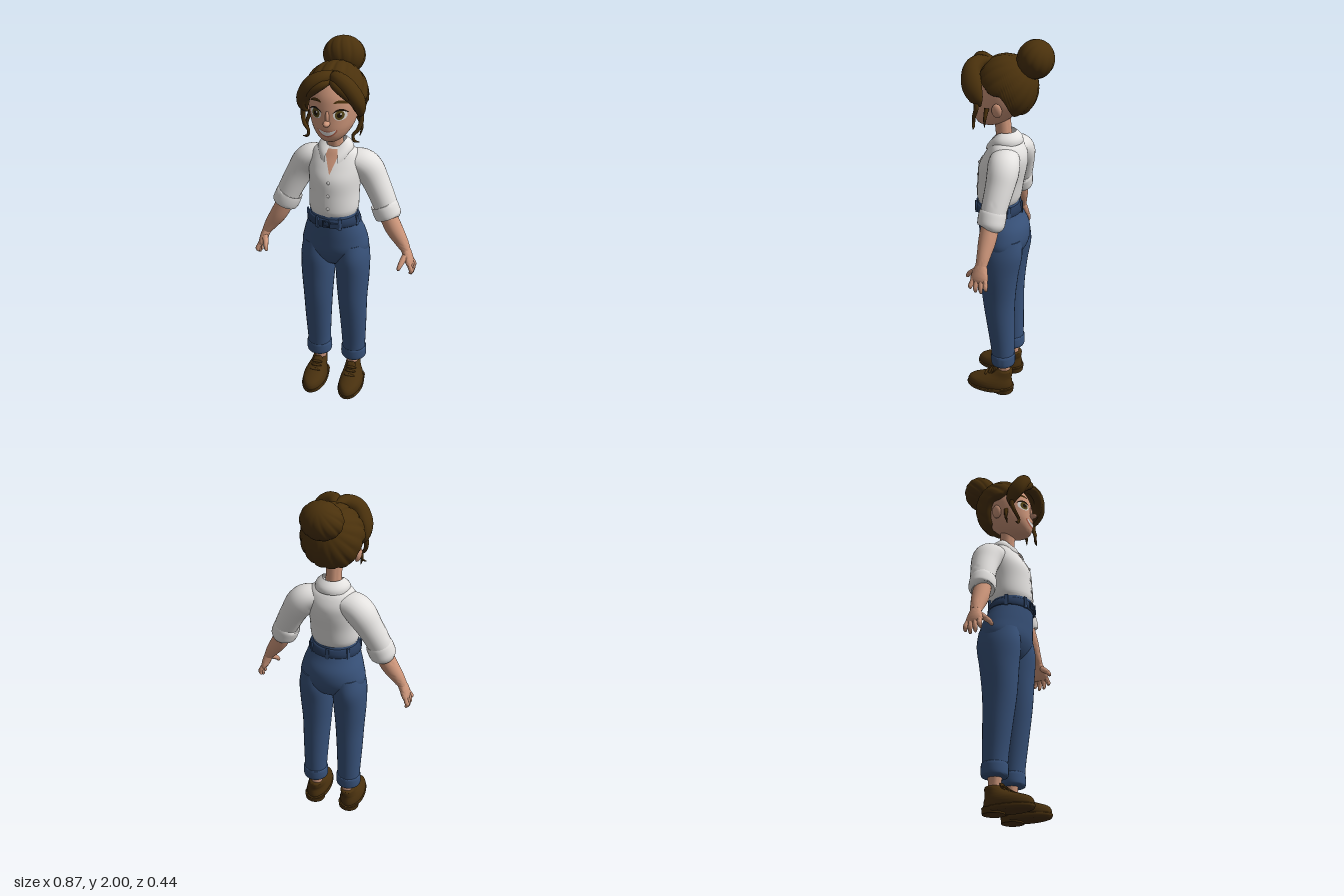
import * as THREE from 'three';
import { mergeVertices, toCreasedNormals } from 'three/addons/utils/BufferGeometryUtils.js';
import { ParametricGeometry } from 'three/addons/geometries/ParametricGeometry.js';

const mat = (name, color, side = THREE.FrontSide) => {
  const m = new THREE.MeshStandardMaterial({ color, side });
  m.name = name;
  return m;
};
const V = (x, y, z) => new THREE.Vector3(x, y, z);

// Catmull-Rom smoothing of cross-sections [x, y, z, ra, rb]
function dense(S, steps) {
  const P = S.map(s => [s[0], s[1], s[2], s[3], s[4] ?? s[3]]), out = [], last = P.length - 1;
  for (let i = 0; i < last; i++) for (let k = 0; k < steps; k++) {
    const t = k / steps, p = [P[Math.max(i - 1, 0)], P[i], P[i + 1], P[Math.min(i + 2, last)]];
    out.push(P[i].map((_, c) => {
      const [a, b, d, e] = p.map(q => q[c]);
      return b + 0.5 * t * (d - a + t * (2 * a - 5 * b + 4 * d - e + t * (3 * (b - d) + e - a)));
    }));
  }
  out.push(P[last]);
  return out;
}

// Closed loft; flat keeps every ring horizontal, otherwise rings follow the path
function loft(S, { flat = false, n = 24, steps = 5 } = {}) {
  const R = dense(S, steps), pos = [], idx = [], m = R.length;
  R.forEach((r, i) => {
    const p = R[Math.max(i - 1, 0)], q = R[Math.min(i + 1, m - 1)];
    const t = flat ? V(0, Math.sign(q[1] - p[1]), 0) : V(q[0] - p[0], q[1] - p[1], q[2] - p[2]).normalize();
    const b = V(0, 0, 1).addScaledVector(t, -t.z).normalize(), a = b.clone().cross(t);
    for (let j = 0; j < n; j++) {
      const w = j / n * Math.PI * 2;
      const v = V(r[0], r[1], r[2]).addScaledVector(a, Math.cos(w) * r[3]).addScaledVector(b, Math.sin(w) * r[4]);
      pos.push(v.x, v.y, v.z);
      if (i < m - 1) {
        const A = i * n + j, B = i * n + (j + 1) % n;
        idx.push(A, B, A + n, B, B + n, A + n);
      }
    }
  });
  pos.push(...R[0].slice(0, 3), ...R[m - 1].slice(0, 3));
  for (let j = 0; j < n; j++) {
    const k = (j + 1) % n, e = (m - 1) * n;
    idx.push(m * n, k, j, m * n + 1, e + j, e + k);
  }
  const g = new THREE.BufferGeometry();
  g.setAttribute('position', new THREE.Float32BufferAttribute(pos, 3));
  g.setIndex(idx);
  return toCreasedNormals(g, 0.85);
}

// Smooth sheet from a rule (u, v) -> [x, y, z]
function sheet(fn, nu, nv) {
  let g = new ParametricGeometry((u, v, t) => t.set(...fn(u, v)), nu, nv);
  g.deleteAttribute('normal');
  g.deleteAttribute('uv');
  g = mergeVertices(g, 1e-5);
  g.computeVertexNormals();
  return g;
}

// Grooved hair volume; limit gives how far it reaches down for each direction
function hairVolume(c, r, limit, axisAngle, grooves, twist) {
  const ca = Math.cos(axisAngle), sa = Math.sin(axisAngle);
  return sheet((u, v) => {
    const a = -2 * Math.PI * u, L = limit(Math.abs(Math.atan2(Math.sin(a), Math.cos(a)))), p = v * L;
    const d = [Math.sin(a) * Math.sin(p), Math.cos(p), Math.cos(a) * Math.sin(p)];
    const along = d[1] * ca - d[2] * sa, psi = Math.atan2(d[0], d[1] * sa + d[2] * ca);
    const groove = Math.abs(Math.cos(grooves * psi + twist * along)) ** 6 * (1 - along * along);
    const tuck = L < 3.1 ? 1 - 0.35 * Math.max(0, (v - 0.88) / 0.12) ** 2 : 1;
    const k = tuck * (1 - 0.035 * groove);
    return [c[0] + d[0] * r[0] * k, c[1] + d[1] * r[1] * k, c[2] + d[2] * r[2] * k];
  }, 96, 40);
}

// Front depth of a flat loft at x, y
function frontZ(R, x, y) {
  let i = 0;
  while (i < R.length - 2 && R[i + 1][1] < y) i++;
  const f = THREE.MathUtils.clamp((y - R[i][1]) / (R[i + 1][1] - R[i][1]), 0, 1);
  const [cz, rx, rz] = [2, 3, 4].map(c => R[i][c] + (R[i + 1][c] - R[i][c]) * f);
  return cz + rz * Math.sqrt(Math.max(0, 1 - (x / rx) ** 2));
}

export function createModel() {
  const skin = mat('skin', 0xd0987c), hair = mat('hair', 0x4a310c, THREE.DoubleSide);
  const shirt = mat('shirt', 0xe4e2e0, THREE.DoubleSide), denim = mat('denim', 0x38527a);
  const beltBlue = mat('belt blue', 0x283c5c), leather = mat('shoe leather', 0x48300e);
  const white = mat('eye white', 0xf2eeea), iris = mat('iris', 0x5a4a1a);
  const black = mat('pupil', 0x1c1208), lip = mat('lip', 0xb5654f);
  const root = new THREE.Group();
  const add = (name, g, m) => {
    const o = new THREE.Mesh(g, m);
    o.name = name;
    root.add(o);
    return o;
  };
  const ball = (name, m, c, r) => {
    const o = add(name, new THREE.SphereGeometry(1, 24, 16), m);
    o.position.set(...c);
    o.scale.set(...r);
    return o;
  };
  const smooth = THREE.MathUtils.smoothstep;

  // Head and neck
  const headS = [[0, 1.555, .11, .012, .02], [0, 1.564, .105, .045, .055], [0, 1.59, .09, .076, .086],
    [0, 1.63, .07, .102, .112], [0, 1.68, .05, .119, .13], [0, 1.74, .04, .128, .135],
    [0, 1.8, .03, .122, .13], [0, 1.86, .02, .09, .1], [0, 1.885, .02, .03, .04]];
  const headR = dense(headS, 5);
  add('head', loft(headS, { flat: true, n: 36 }), skin);
  add('neck', loft([[0, 1.44, .025, .05, .045], [0, 1.5, .03, .041], [0, 1.62, .04, .042]], { flat: true }), skin);
  ball('nose', skin, [0, 1.668, .188], [.017, .014, .026]);
  ball('noseBridge', skin, [0, 1.695, .172], [.011, .035, .016]);

  // Curved plate lying on a lofted front: half width, half height, bend, lift, tilt
  const plate = (name, m, R, x, y, hw, hh, bend, lift, tilt = 0) => add(name, sheet((u, v) => {
    const s = Math.sin((u - .5) * Math.PI), px = x + s * hw;
    const py = y + bend * s * s + tilt * s + (v * 2 - 1) * hh * Math.sqrt(Math.max(0, 1 - s * s));
    return [px, py, frontZ(R, px, py) + lift];
  }, 20, 6), m);
  plate('lips', lip, headR, 0, 1.612, .05, .016, .02, .002);
  plate('teeth', white, headR, 0, 1.614, .043, .010, .019, .004);
  for (const s of [1, -1]) {
    plate('eyeWhite', white, headR, s * .06, 1.71, .031, .027, 0, .002);
    plate('iris', iris, headR, s * .059, 1.71, .021, .023, 0, .004);
    plate('pupil', black, headR, s * .059, 1.71, .011, .012, 0, .006);
    plate('eyeGlint', white, headR, s * .059 + .007, 1.718, .004, .004, 0, .008);
    plate('lashes', black, headR, s * .062, 1.737, .035, .005, -.018, .005);
    plate('brow', hair, headR, s * .062, 1.775, .032, .007, -.01, .005, -s * .003);
    ball('ear', skin, [s * .128, 1.67, .03], [.016, .038, .026]).rotation.z = -s * .2;
  }

  // Hair cap, bun, swept fringe and loose curls
  add('hairCap', hairVolume([0, 1.755, .015], [.16, .165, .16],
    a => .95 + .78 * smooth(a, .2, 1.45) + .95 * smooth(a, 1.55, 2.2), .9, 8, 0), hair);
  add('bun', hairVolume([0, 1.905, -.13], [.106, .095, .092], () => Math.PI, .6, 6, 1.2), hair);
  for (const s of [1, -1]) {
    const lock = (name, S) => add(name, loft(S.map(([x, ...r]) => [x * s + .01, ...r]), { n: 14 }), hair);
    lock('fringeUpper', [[0, 1.885, .08, .012, .02], [.03, 1.885, .14, .032, .038], [.085, 1.855, .165, .04, .045],
      [.132, 1.79, .15, .033, .05], [.142, 1.73, .125, .022, .035], [.128, 1.69, .11, .005]]);
    lock('fringeLower', [[.004, 1.868, .13, .01, .015], [.03, 1.862, .175, .022, .026], [.075, 1.832, .185, .024, .026],
      [.112, 1.79, .165, .02, .026], [.124, 1.745, .14, .014, .02], [.126, 1.71, .125, .004]]);
    lock('looseCurl', [[.132, 1.76, .13, .014], [.146, 1.69, .125, .012], [.135, 1.64, .14, .01],
      [.112, 1.61, .15, .008], [.118, 1.58, .15, .007], [.142, 1.575, .145, .002]]);
    lock('napeCurl', [[.12, 1.68, .08, .012], [.138, 1.63, .085, .008], [.13, 1.585, .09, .002]]);
  }

  // Shirt body, open neckline, placket and buttons
  const torsoS = [[0, 1.135, .06, .115, .1], [0, 1.16, .058, .126, .112], [0, 1.19, .055, .13, .117],
    [0, 1.26, .047, .13, .12], [0, 1.34, .035, .135, .124], [0, 1.4, .02, .137, .11],
    [0, 1.45, .015, .122, .085], [0, 1.48, .02, .09, .064], [0, 1.5, .025, .055, .045]];
  const torsoR = dense(torsoS, 5);
  add('shirtBody', loft(torsoS, { flat: true, n: 36 }), shirt);
  add('openNeckline', sheet((u, v) => {
    const x = (u - .5) * .085 * v, y = 1.375 + .115 * v;
    return [x, y, frontZ(torsoR, x, y) + .004];
  }, 8, 12), skin);
  add('placket', sheet((u, v) => {
    const x = (u - .5) * .028, y = 1.15 + .225 * v;
    return [x, y, frontZ(torsoR, x, y) + .004];
  }, 4, 20), shirt);
  for (const y of [1.34, 1.27, 1.2]) ball('button', shirt, [0, y, frontZ(torsoR, 0, y) + .006], [.008, .008, .005]);
  add('collar', sheet((u, v) => {
    const a = .42 + u * (2 * Math.PI - .84), f = Math.max(0, Math.cos(a)) ** 2;
    const r = .09 - .036 * v + .012 * Math.sin(v * Math.PI);
    const y = (1.472 - .055 * f) * (1 - v) + (1.53 - .04 * f) * v;
    return [r * Math.sin(a) * (1 - .1 * f), y, .022 + r * Math.cos(a) * (1 + .2 * f * (1 - v))];
  }, 48, 6), shirt);

  // Trousers, belt and loops
  add('trouserHips', loft([[0, .81, .03, .03, .04], [0, .85, .025, .13, .09], [0, .92, .025, .178, .126],
    [0, 1, .03, .166, .131], [0, 1.07, .048, .143, .118], [0, 1.12, .058, .124, .11], [0, 1.152, .06, .12, .107]],
    { flat: true, n: 36 }), denim);
  add('belt', loft([[0, 1.088, .054, .136, .115], [0, 1.094, .054, .142, .121], [0, 1.128, .058, .131, .117],
    [0, 1.134, .058, .124, .111]], { flat: true, n: 36, steps: 2 }), beltBlue);
  for (const a of [.45, 1.3, 2.3, Math.PI, -2.3, -1.3, -.45]) {
    const o = add('beltLoop', new THREE.BoxGeometry(.016, .062, .01), denim);
    o.position.set(.136 * Math.sin(a), 1.113, .056 + .121 * Math.cos(a));
    o.rotation.y = a;
  }
  const buckle = add('buckle', new THREE.TorusGeometry(.022, .005, 8, 4), beltBlue);
  buckle.position.set(-.01, 1.112, .178);
  buckle.rotation.z = Math.PI / 4;
  const strap = add('beltEnd', new THREE.BoxGeometry(.05, .028, .01), beltBlue);
  strap.position.set(.035, 1.106, .174);
  strap.rotation.set(0, .25, -.12);

  for (const s of [1, -1]) {
    const limb = (name, m, S, o) => add(name, loft(S.map(([x, ...r]) => [x * s, ...r]), o), m);
    // Arm and hand
    limb('sleeve', shirt, [[.06, 1.415, .005, .05, .07], [.125, 1.395, -.005, .072, .08], [.165, 1.36, -.01, .077, .08],
      [.205, 1.295, -.004, .069, .073], [.25, 1.205, .01, .064, .066], [.272, 1.15, .018, .06, .062]]);
    limb('sleeveCuff', shirt, [[.249, 1.192, .014, .06], [.252, 1.186, .014, .069], [.266, 1.152, .018, .071],
      [.279, 1.122, .019, .068], [.281, 1.116, .02, .054]], { steps: 3 });
    limb('forearm', skin, [[.265, 1.15, .02, .045], [.31, 1.06, .028, .045], [.355, .99, .035, .035],
      [.383, .945, .04, .024, .029]]);
    limb('palm', skin, [[.377, .955, .039, .024, .027], [.392, .92, .042, .023, .038], [.404, .885, .044, .02, .046],
      [.411, .862, .044, .012, .04]]);
    [[.081, .835], [.057, .818], [.032, .814], [.008, .83]].forEach(([z, tip], i) =>
      limb('finger' + (i + 1), skin, [[.406, .885, .044 + (z - .044) * .8, .012], [.418, .86, z, .0125],
        [.424, (.86 + tip) / 2, z * 1.08 - .002, .0115], [.418, tip, z * 1.12 - .004, .008], [.416, tip - .006, z * 1.12 - .004, .002]],
        { n: 10, steps: 3 }));
    limb('thumb', skin, [[.388, .93, .055, .016], [.376, .905, .085, .015], [.367, .885, .108, .0125],
      [.361, .866, .12, .009], [.36, .86, .122, .002]], { n: 10, steps: 3 });

    // Leg, rolled hem and ankle
    limb('trouserLeg', denim, [[.088, .96, .025, .08, .11], [.094, .87, .027, .091, .119], [.096, .75, .032, .09, .104],
      [.097, .6, .034, .08, .09], [.1, .45, .025, .073, .077], [.101, .3, .014, .066, .066], [.101, .21, .01, .063, .062]],
      { flat: true, n: 28 });
    limb('rolledHem', denim, [[.101, .182, .01, .045], [.101, .183, .01, .062, .061], [.101, .195, .01, .071, .067],
      [.101, .235, .01, .071, .067], [.101, .25, .01, .068, .065], [.101, .253, .01, .055]], { flat: true, n: 28, steps: 3 });
    limb('ankle', skin, [[.095, .09, .008, .034], [.094, .14, .007, .031, .033], [.096, .21, .008, .036]], { flat: true });

    // Shoe with sole, heel, tongue and laces
    limb('shoeUpper', leather, [[.106, .022, .086, .062, .128], [.106, .045, .086, .066, .13], [.106, .07, .08, .061, .121],
      [.104, .088, .058, .053, .096], [.1, .108, .025, .045, .067], [.098, .132, .003, .039, .046], [.098, .138, .002, .033, .04]],
      { flat: true, n: 32 });
    limb('shoeSole', leather, [[.106, .008, .08, .06, .122], [.106, .014, .083, .068, .133], [.106, .03, .085, .07, .136],
      [.106, .035, .085, .064, .13]], { flat: true, n: 32, steps: 3 });
    limb('shoeHeel', leather, [[.106, 0, .008, .058, .056], [.106, .03, .006, .061, .057]], { flat: true, steps: 1 });
    limb('shoeTongue', leather, [[.101, .09, .1, .026, .012], [.1, .118, .066, .028, .011], [.099, .143, .048, .024, .009],
      [.099, .15, .046, .01, .004]], { n: 14 });
    for (const [y, z] of [[.1, .108], [.114, .085], [.127, .068]])
      ball('shoeLace', leather, [s * .101, y, z], [.032, .007, .008]);
  }
  return root;
}
